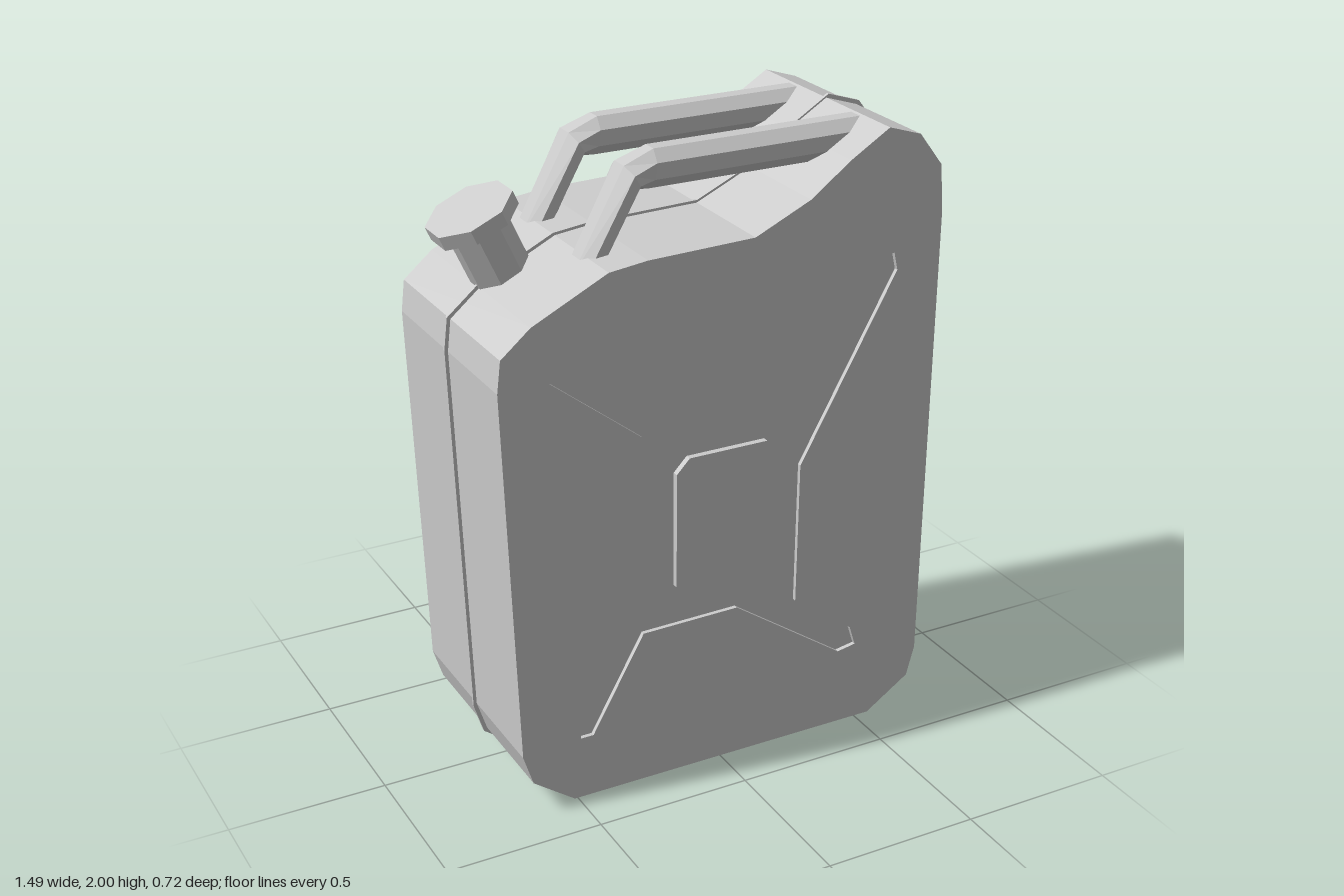
import * as THREE from 'three';

const OUTLINE = [
  [-0.525, 0], [0.55, 0], [0.70, 0.10], [0.727, 0.2], [0.742, 1.71], [0.73, 1.86], [0.65, 1.965],
  [0.54, 2.0], [0.41, 1.92], [0.275, 1.82], [0.09, 1.735], [-0.26, 1.725], [-0.385, 1.71],
  [-0.63, 1.59], [-0.725, 1.51], [-0.737, 1.41], [-0.695, 0.2], [-0.663, 0.1],
];
const CROSS = [
  [-0.567, 1.405], [-0.572, 1.448], [-0.515, 1.46], [-0.055, 1.147], [0.27, 1.147], [0.525, 1.595],
  [0.567, 1.60], [0.58, 1.543], [0.26, 0.967], [0.255, 0.50], [0.462, 0.35], [0.483, 0.283],
  [0.42, 0.272], [0.045, 0.532], [-0.277, 0.527], [-0.45, 0.22], [-0.493, 0.22], [-0.493, 0.272],
  [-0.272, 0.686], [-0.277, 1.178],
];
const BADGE = [
  [-0.168, 0.66], [-0.125, 0.615], [0.135, 0.615], [0.175, 0.66],
  [0.175, 1.035], [0.138, 1.08], [-0.125, 1.08], [-0.168, 1.035],
];
// Each handle ring: outer x, outer y, inner x, inner y, half width in z
const HANDLE = [
  [-0.42, 1.65, -0.345, 1.62, 0.06],
  [-0.256, 1.95, -0.21, 1.875, 0.071],
  [-0.16, 1.985, -0.175, 1.87, 0.057],
  [0.53, 1.985, 0.53, 1.87, 0.057],
];

const toVectors = (points) => points.map(([x, y]) => new THREE.Vector2(x, y));

// Straight slab between two z planes
function slab(points, z0, z1, hole) {
  const shape = new THREE.Shape(toVectors(points));
  if (hole) shape.holes.push(new THREE.Path(toVectors(hole)));
  const geometry = new THREE.ExtrudeGeometry(shape, { depth: z1 - z0, bevelEnabled: false });
  return geometry.translate(0, 0, z0);
}

// Octagonal bar lofted through the rings, closed at both ends
function bar(rings) {
  const n = 8, positions = [], index = [];
  for (const [ox, oy, ix, iy, half] of rings) {
    for (let j = 0; j < n; j++) {
      const a = ((j + 0.5) * Math.PI * 2) / n;
      const c = Math.cos(a) / Math.cos(Math.PI / n) / 2;
      const s = Math.sin(a) / Math.cos(Math.PI / n);
      positions.push((ox + ix) / 2 + (ox - ix) * c, (oy + iy) / 2 + (oy - iy) * c, half * s);
    }
  }
  const last = (rings.length - 1) * n;
  for (let j = 0; j < n; j++) {
    const k = (j + 1) % n;
    for (let r = 0; r < last; r += n) {
      index.push(r + j, r + k, r + n + k, r + j, r + n + k, r + n + j);
    }
    if (j > 0 && j < n - 1) index.push(0, k, j, last, last + j, last + k);
  }
  const geometry = new THREE.BufferGeometry();
  geometry.setAttribute('position', new THREE.Float32BufferAttribute(positions, 3));
  geometry.setIndex(index);
  const flat = geometry.toNonIndexed();
  flat.computeVertexNormals();
  return flat;
}

export function createModel() {
  const model = new THREE.Group();
  const metal = new THREE.MeshStandardMaterial({ color: 0xcccccc, flatShading: true });
  metal.name = 'grey metal';
  const add = (name, geometry, parent = model) => {
    const mesh = new THREE.Mesh(geometry, metal);
    mesh.name = name;
    parent.add(mesh);
    return mesh;
  };

  // Can body, slightly smaller than the seam that runs around its middle
  const body = OUTLINE.map(([x, y]) => [x * 0.985, 1 + (y - 1) * 0.989]);
  const floorZ = 0.341, faceZ = 0.355;
  add('body', slab(body, -floorZ, floorZ));
  add('weldSeam', slab(OUTLINE, -0.005, 0.005));

  // Pressed cross and raised badge on both faces
  add('frontFace', slab(body, floorZ, faceZ, CROSS));
  add('backFace', slab(body, -faceZ, -floorZ, CROSS));
  add('frontBadge', slab(BADGE, floorZ, 0.361));
  add('backBadge', slab(BADGE, -0.361, -floorZ));

  // Pair of carrying handles
  for (const side of [-1, 1]) {
    add(side > 0 ? 'frontHandle' : 'backHandle', bar(HANDLE)).position.z = side * 0.179;
  }

  // Tilted filler neck with its cap
  const spout = new THREE.Group();
  spout.name = 'spout';
  spout.position.set(-0.625, 1.795, -0.02);
  spout.rotation.z = 0.425;
  model.add(spout);
  const octagon = (apothem, height) => {
    const r = apothem / Math.cos(Math.PI / 8);
    return new THREE.CylinderGeometry(r, r, height, 8).rotateY(Math.PI / 8);
  };
  add('cap', octagon(0.126, 0.045), spout);
  add('neck', octagon(0.086, 0.25), spout).position.y = -0.13;

  return model;
}
